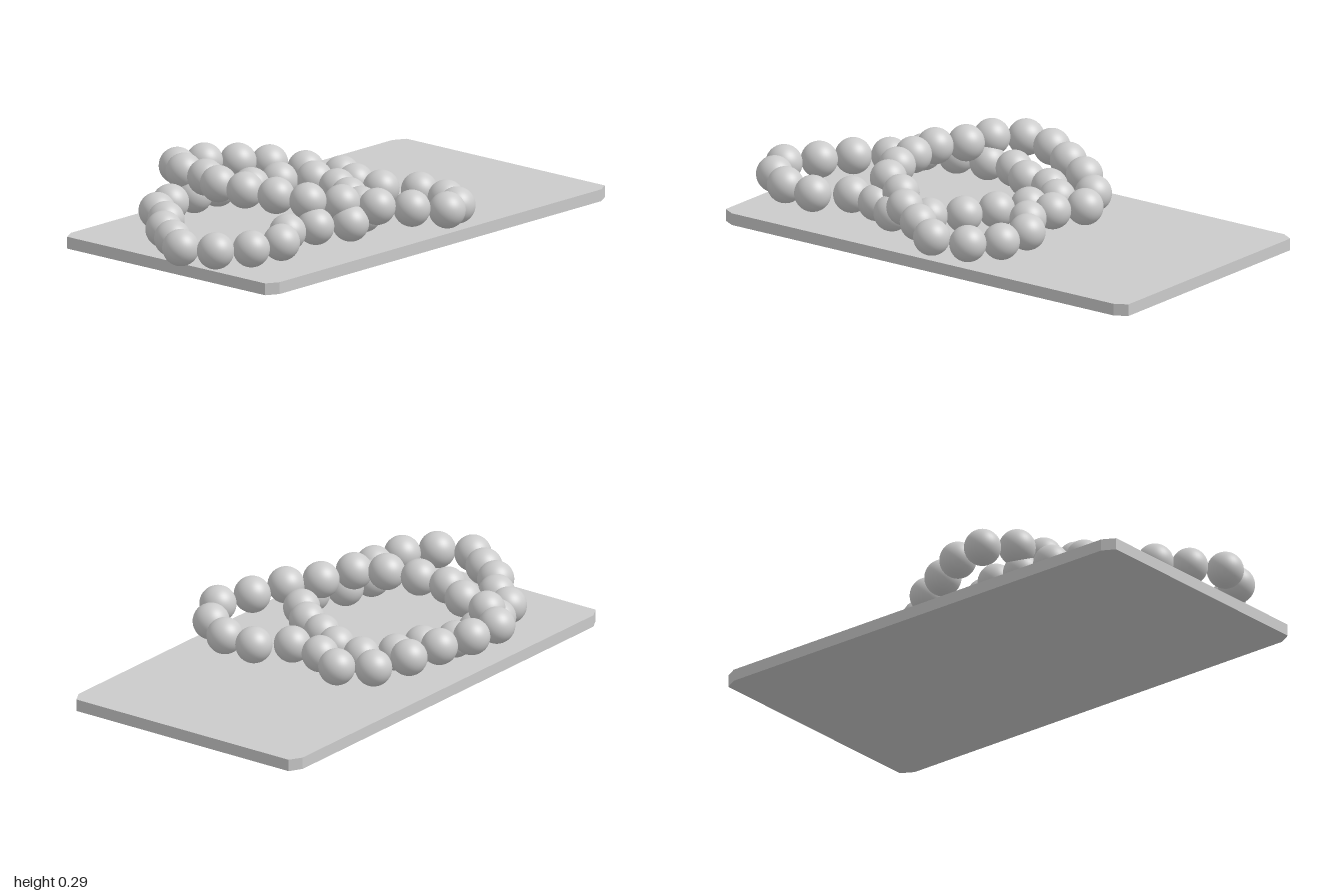
import * as THREE from 'three';

const BEAD_RADIUS = 0.07;

// Bead centres as [x, z, y]
const raisedLoop = [
  [-0.262, -0.527, 0.192], [-0.128, -0.511, 0.185], [-0.005, -0.452, 0.17],
  [0.112, -0.398, 0.15], [0.219, -0.313, 0.121], [0.278, -0.184, 0.113],
  [0.219, -0.061, 0.117], [0.209, 0.078, 0.119], [0.294, 0.195, 0.115],
  [0.283, 0.34, 0.113], [0.214, 0.457, 0.121], [0.091, 0.519, 0.138],
  [-0.027, 0.447, 0.155], [-0.144, 0.377, 0.173], [-0.235, 0.281, 0.188],
  [-0.348, 0.211, 0.205], [-0.396, 0.094, 0.215], [-0.422, -0.04, 0.217],
  [-0.422, -0.174, 0.217], [-0.364, -0.291, 0.21], [-0.342, -0.42, 0.205],
];

// Bead centres as [x, z], all lying on the slab
const flatLoop = [
  [-0.33, -0.38], [-0.203, -0.377], [-0.091, -0.307], [0.037, -0.281],
  [0.139, -0.195], [0.112, -0.056], [0.048, 0.061], [-0.016, 0.179],
  [-0.107, 0.275], [-0.241, 0.33], [-0.364, 0.265], [-0.497, 0.243],
  [-0.62, 0.323], [-0.765, 0.302], [-0.877, 0.222], [-0.93, 0.094],
  [-0.85, -0.019], [-0.775, -0.131], [-0.668, -0.217], [-0.594, -0.329],
  [-0.471, -0.372],
];

function beadLoop(name, centres, material) {
  const loop = new THREE.Group();
  loop.name = name;
  const geometry = new THREE.SphereGeometry(BEAD_RADIUS, 40, 24);
  for (const [x, z, y = 0.119] of centres) {
    const bead = new THREE.Mesh(geometry, material);
    bead.name = 'bead';
    bead.position.set(x, y, z);
    loop.add(bead);
  }
  return loop;
}

// Thin rectangular slab with clipped corners
function slab(material) {
  const [x0, x1, z0, z1] = [-0.9, 1, -0.535, 0.522];
  const cx = 0.05, cz = 0.028, thickness = 0.046;
  const outline = new THREE.Shape([
    [x0 + cx, -z1], [x1 - cx, -z1], [x1, -z1 + cz], [x1, -z0 - cz],
    [x1 - cx, -z0], [x0 + cx, -z0], [x0, -z0 - cz], [x0, -z1 + cz],
  ].map(([x, y]) => new THREE.Vector2(x, y)));
  const geometry = new THREE.ExtrudeGeometry(outline, { depth: thickness, bevelEnabled: false });
  geometry.rotateX(-Math.PI / 2);
  const mesh = new THREE.Mesh(geometry, material);
  mesh.name = 'slab';
  return mesh;
}

export function createModel() {
  const model = new THREE.Group();
  model.name = 'beadLoopsOnSlab';
  const material = new THREE.MeshStandardMaterial({ color: 0xcccccc });
  model.add(
    slab(material),
    beadLoop('flatBeadLoop', flatLoop, material),
    beadLoop('raisedBeadLoop', raisedLoop, material),
  );
  return model;
}
